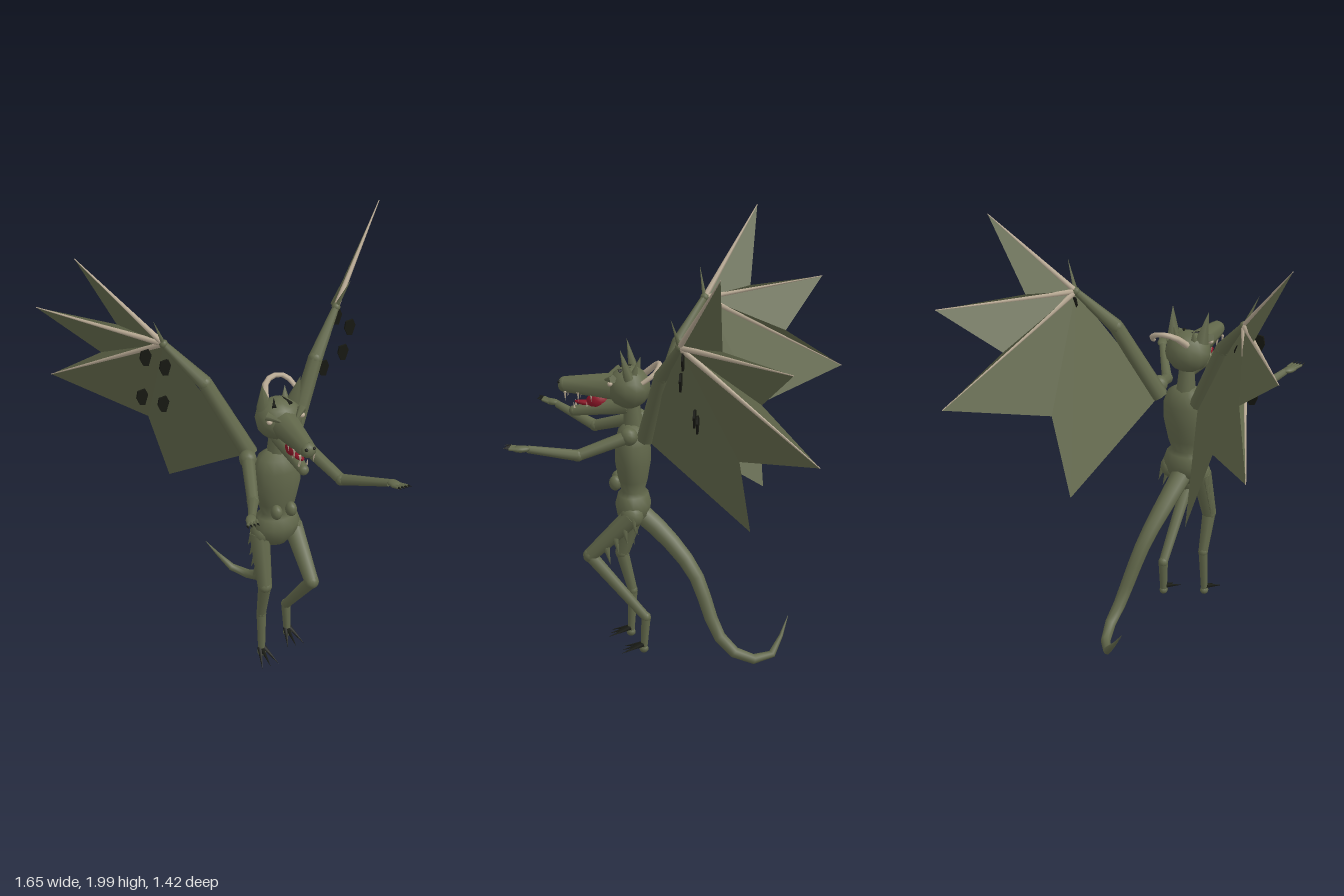
import * as THREE from 'three';

const mat = (name, color, side = THREE.FrontSide) => {
  const m = new THREE.MeshStandardMaterial({ color, side });
  m.name = name;
  return m;
};
const V = (p) => new THREE.Vector3(...p);

export function createModel() {
  const root = new THREE.Group();
  root.name = 'wingedBeast';
  const hide = mat('olive hide', 0x62684b);
  const skin = mat('olive membrane', 0x62684b, THREE.DoubleSide);
  const bone = mat('pale bone', 0xb9aa94);
  const dark = mat('black claw', 0x1b1d17);
  const patch = mat('black scale', 0x171812, THREE.DoubleSide);
  const red = mat('red tongue', 0x8a1526);

  const add = (name, geo, m, parent = root) => {
    const mesh = new THREE.Mesh(geo, m);
    mesh.name = name;
    parent.add(mesh);
    return mesh;
  };
  // Tapered rod from a to b
  const rod = (name, a, b, ra, rb, m = hide, sides = 8) => {
    const d = V(b).sub(V(a));
    const mesh = add(name, new THREE.CylinderGeometry(rb, ra, d.length(), sides), m);
    mesh.position.copy(V(a)).addScaledVector(d, 0.5);
    mesh.quaternion.setFromUnitVectors(new THREE.Vector3(0, 1, 0), d.normalize());
    return mesh;
  };
  const spike = (name, a, b, r, m = dark) => rod(name, a, b, r, 0.0005, m, 5);
  const ball = (name, p, s, m = hide) => {
    const mesh = add(name, new THREE.SphereGeometry(1, 12, 8), m);
    mesh.position.set(...p);
    mesh.scale.set(...s);
    return mesh;
  };
  // Tapered smooth tube through points [x, y, z, radius]
  const taper = (name, pts, m, sides = 8) => {
    const n = pts.length - 1, per = 2;
    const curve = new THREE.CatmullRomCurve3(pts.map((p) => new THREE.Vector3(p[0], p[1], p[2])));
    const geo = new THREE.TubeGeometry(curve, n * per, 1, sides);
    const pos = geo.attributes.position;
    for (let i = 0; i <= n * per; i++) {
      const t = curve.getUtoTmapping(i / (n * per)) * n, k = Math.min(n - 1, Math.floor(t));
      const r = pts[k][3] + (pts[k + 1][3] - pts[k][3]) * (t - k);
      const c = curve.getPointAt(i / (n * per));
      for (let j = 0; j <= sides; j++) {
        const id = i * (sides + 1) + j;
        const v = new THREE.Vector3().fromBufferAttribute(pos, id).sub(c).multiplyScalar(r).add(c);
        pos.setXYZ(id, v.x, v.y, v.z);
      }
    }
    return add(name, geo, m);
  };

  // Torso, turned profile flattened front to back
  const profile = [[0, 0.62], [0.05, 0.635], [0.1, 0.69], [0.112, 0.74], [0.095, 0.79], [0.072, 0.805],
    [0.092, 0.86], [0.112, 0.95], [0.112, 1.04], [0.09, 1.1], [0.045, 1.13], [0, 1.135]];
  const torso = add('torso', new THREE.LatheGeometry(profile.map((p) => new THREE.Vector2(...p)), 14), hide);
  torso.scale.z = 0.74;
  torso.position.z = 0.195;
  rod('neck', [0, 1.1, 0.19], [0, 1.24, 0.2], 0.048, 0.036);

  // Head and jaws
  ball('skull', [0, 1.3, 0.21], [0.108, 0.098, 0.1]);
  rod('snout', [0, 1.3, 0.26], [0, 1.3, 0.51], 0.068, 0.038);
  ball('nose', [0, 1.3, 0.51], [0.036, 0.036, 0.03]);
  rod('lowerJaw', [0, 1.215, 0.22], [0, 1.175, 0.47], 0.045, 0.024);
  ball('chin', [0, 1.175, 0.47], [0.024, 0.024, 0.02]);
  const tongue = ball('tongue', [0, 1.215, 0.4], [0.02, 0.013, 0.065], red);
  tongue.rotation.x = -0.1;
  ball('throat', [0, 1.225, 0.36], [0.032, 0.04, 0.05], red);
  taper('horn', [[-0.03, 1.36, 0.14, 0.016], [0, 1.415, 0.08, 0.014], [0.07, 1.425, 0.06, 0.012],
    [0.115, 1.4, 0.075, 0.013], [0.135, 1.36, 0.13, 0.01]], bone, 6);

  // Tail
  taper('tail', [[0, 0.69, 0.16, 0.05], [0.02, 0.6, 0.05, 0.046], [0.065, 0.43, -0.1, 0.037],
    [0.13, 0.14, -0.23, 0.03], [0.135, 0.05, -0.34, 0.026], [0.07, 0.035, -0.46, 0.02],
    [-0.05, 0.19, -0.53, 0.001]], hide);

  // Irregular six-sided scale plate
  const plate = new THREE.Shape([[-0.02, 0.035], [0.015, 0.04], [0.028, 0.01], [0.012, -0.04],
    [-0.012, -0.035], [-0.027, 0]].map((p) => new THREE.Vector2(...p)));

  for (const s of [-1, 1]) {
    const left = s > 0;
    const P = (x, y, z) => [s * x, y, z];

    // Face details
    const ear = spike('ear', P(0.072, 1.36, 0.2), P(0.092, 1.5, 0.235), 0.036, hide);
    ear.scale.z = 0.7;
    spike('rearTuft', P(0.045, 1.37, 0.18), P(0.05, 1.43, 0.165), 0.018, hide);
    ball('eye', P(0.078, 1.335, 0.285), [0.014, 0.012, 0.012], bone);
    spike('brow', P(0.085, 1.36, 0.27), P(0.02, 1.335, 0.33), 0.02, hide);
    spike('headSpike', P(0.04, 1.38, 0.25), P(0.02, 1.4, 0.2), 0.012);
    ball('nostril', P(0.018, 1.315, 0.53), [0.008, 0.007, 0.008], dark);
    for (const z of [0.38, 0.44, 0.5]) {
      spike('upperTooth', P(0.034, 1.275, z), P(0.03, 1.23, z), 0.007, bone);
      spike('lowerTooth', P(0.02, 1.195, z - 0.04), P(0.02, 1.225, z - 0.035), 0.005, bone);
    }
    ball('bellyLump', P(0.036, 0.845, 0.272), [0.027, 0.036, 0.03]);

    // Arm and hand
    const elbow = P(0.215, 1.035, 0.41), hx = left ? 0.36 : 0.325;
    ball('shoulder', P(0.14, 1.11, 0.19), [0.04, 0.042, 0.042]);
    rod('upperArm', P(0.14, 1.11, 0.19), elbow, 0.031, 0.026);
    ball('elbow', elbow, [0.028, 0.028, 0.028]);
    rod('forearm', elbow, P(hx - 0.015, 1.1, 0.61), 0.026, 0.017);
    const hand = ball('hand', P(hx, 1.105, 0.635), [0.024, 0.015, 0.042]);
    hand.rotation.y = s * 0.4;
    for (let i = 0; i < 4; i++) {
      const o = (i - 1.5) * 0.012;
      rod('finger', P(hx + o, 1.107, 0.65), P(hx + 0.015 + o * 1.3, 1.115, 0.685), 0.008, 0.006, hide, 6);
      spike('fingerClaw', P(hx + 0.015 + o * 1.3, 1.115, 0.683), P(hx + 0.02 + o * 1.4, 1.122, 0.71), 0.005);
    }

    // Leg, the left knee raised further forward
    const knee = left ? P(0.09, 0.5, 0.385) : P(0.09, 0.45, 0.265);
    const ankle = left ? P(0.085, 0.2, 0.125) : P(0.085, 0.26, 0.215);
    const fz = left ? 0.135 : 0.225;
    ball('hip', P(0.08, 0.7, 0.19), [0.045, 0.055, 0.055]);
    rod('thigh', P(0.083, 0.7, 0.19), knee, 0.048, 0.034);
    ball('knee', knee, [0.034, 0.034, 0.034]);
    rod('shin', knee, ankle, 0.032, 0.023);
    ball('ankle', ankle, [0.024, 0.026, 0.024]);
    rod('foot', ankle, P(0.088, 0.035, fz), 0.023, 0.016);
    ball('heel', P(0.088, 0.04, fz), [0.02, 0.02, 0.022]);
    for (const o of [-1, 0, 1])
      spike('toeClaw', P(0.088 + o * 0.01, 0.065, fz), P(0.088 + o * 0.042, 0.025, fz + 0.1), 0.012);
    for (let i = 0; i < 4; i++) {
      const y = 0.7 - i * 0.05, z = 0.18 + (knee[2] - 0.18) * i * 0.2;
      spike('thighSpike', P(0.11, y, z), P(0.128, y - 0.075, z - 0.02), 0.016, hide);
    }

    // Wing arm, finger bones and thumb claw
    const wrist = P(0.42, 1.62, -0.08), base = P(0.1, 1.09, 0.12);
    const tips = [P(0.735, 2, -0.29), P(0.825, 1.64, -0.6), P(0.74, 1.22, -0.71), P(0.293, 0.74, -0.38)];
    const notches = [P(0.56, 1.65, -0.28), P(0.58, 1.43, -0.45), P(0.405, 1.11, -0.34)];
    const bend = P(0.27, 1.44, 0.02);
    rod('wingUpperArm', base, bend, 0.04, 0.034);
    ball('wingElbow', bend, [0.034, 0.034, 0.034]);
    rod('wingForearm', bend, wrist, 0.034, 0.016);
    ball('wingWrist', wrist, [0.02, 0.02, 0.02]);
    for (const t of tips.slice(0, 3)) rod('wingFinger', wrist, t, 0.014, 0.002, bone, 6);
    spike('wingThumb', wrist, P(0.475, 1.755, -0.05), 0.011, hide);

    // Membrane fanned out from the wrist
    const rim = [tips[0], notches[0], tips[1], notches[1], tips[2], notches[2], tips[3], base];
    const verts = [];
    for (let i = 0; i < rim.length - 1; i++) verts.push(...wrist, ...rim[i], ...rim[i + 1]);
    const web = new THREE.BufferGeometry();
    web.setAttribute('position', new THREE.Float32BufferAttribute(verts, 3));
    web.computeVertexNormals();
    add('wingMembrane', web, skin);

    // Black scales hanging in front of the membrane
    const spots = left ? [[0.43, 1.56, -0.1], [0.5, 1.49, -0.1]] : [[0.5, 1.56, -0.1], [0.41, 1.49, -0.1]];
    spots.push([0.5, 1.33, -0.16], [0.4, 1.27, -0.16]);
    for (const p of spots) {
      const geo = new THREE.ExtrudeGeometry(plate, { depth: 0.009, bevelEnabled: false });
      add('wingScale', geo, patch).position.set(...P(...p));
    }
  }
  return root;
}
